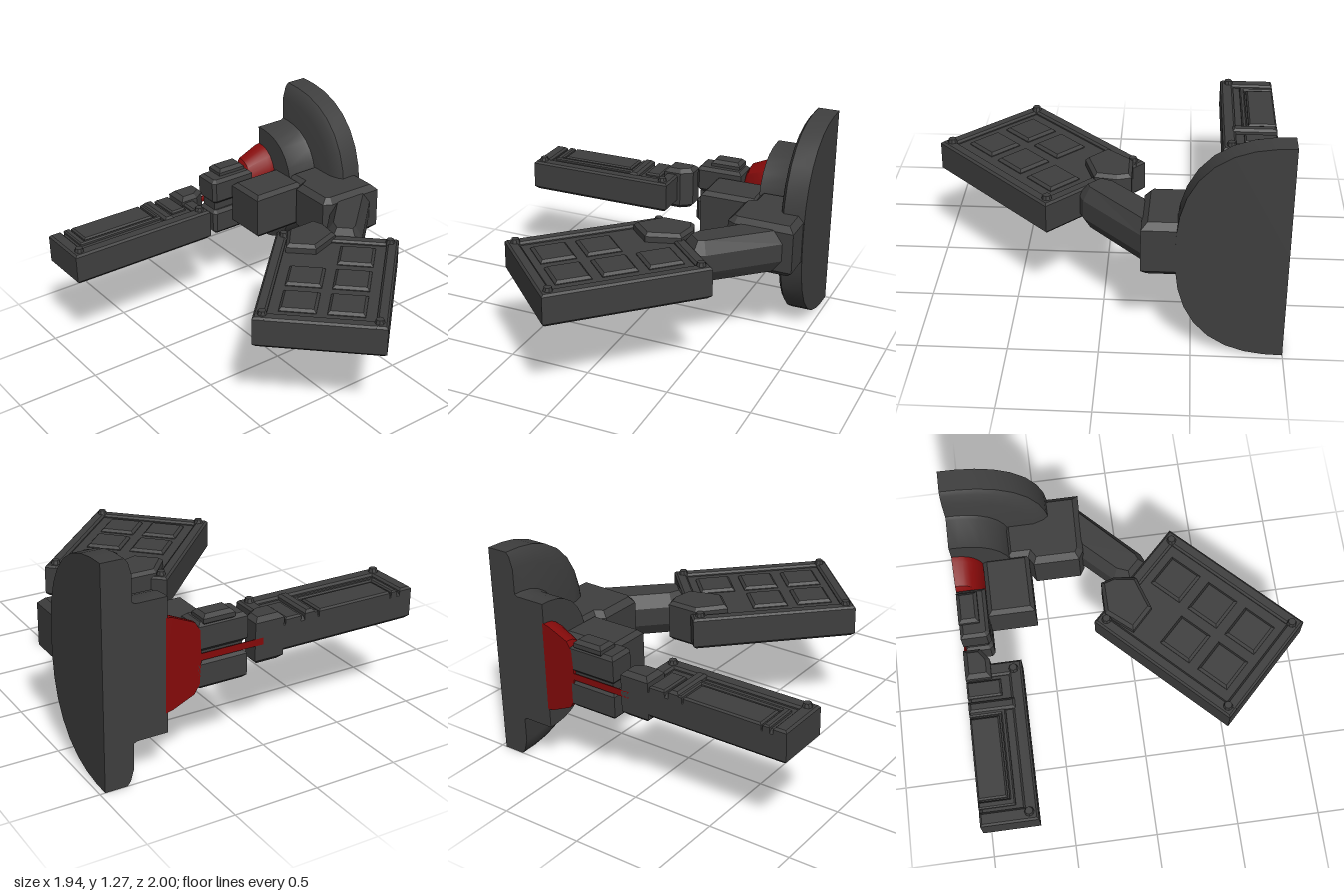
import * as THREE from 'three';
import { toCreasedNormals } from 'three/addons/utils/BufferGeometryUtils.js';

export function createModel() {
  const model = new THREE.Group();
  const hull = new THREE.MeshStandardMaterial({ color: 0x3f3f3f, side: THREE.DoubleSide });
  hull.name = 'dark hull grey';
  const red = new THREE.MeshStandardMaterial({ color: 0x850a0a, side: THREE.DoubleSide });
  red.name = 'deep red';
  const MID = 0.635; // height of the symmetry plane

  function add(parent, name, geometry, material = hull) {
    const mesh = new THREE.Mesh(geometry, material);
    mesh.name = name;
    parent.add(mesh);
    return mesh;
  }

  // Bevelled prism: plan outline in [x, z], between heights y0 and y1
  function prism(parent, name, plan, y0, y1, bevel = 0.015, bevelHeight = bevel) {
    const shape = new THREE.Shape(plan.map(([x, z]) => new THREE.Vector2(x, -z)));
    const geo = new THREE.ExtrudeGeometry(shape, {
      depth: y1 - y0 - 2 * bevelHeight, bevelEnabled: bevel > 0, bevelThickness: bevelHeight,
      bevelSize: bevel, bevelOffset: -bevel, bevelSegments: 1,
    });
    geo.rotateX(-Math.PI / 2);
    geo.translate(0, y0 + bevelHeight, 0);
    return add(parent, name, geo);
  }
  const rect = (x0, x1, z0, z1) => [[x0, z0], [x0, z1], [x1, z1], [x1, z0]];

  // Solid half body about the x axis, cut flat at z = -1; profile in [radius, x]
  function halfBody(name, profile, material, zScale, sides = 18) {
    const geo = new THREE.LatheGeometry(
      profile.map(([r, x]) => new THREE.Vector2(r, -x)), sides, -Math.PI / 2, Math.PI);
    geo.rotateZ(Math.PI / 2);
    // Swell the round section into a slightly squared one
    const pos = geo.attributes.position, n = 2.5;
    for (let i = 0; i < pos.count; i++) {
      const y = pos.getY(i), z = pos.getZ(i), r = Math.hypot(y, z);
      if (r < 1e-6) continue;
      const k = Math.pow(Math.abs(y / r) ** n + Math.abs(z / r) ** n, -1 / n);
      pos.setXYZ(i, pos.getX(i), y * k, z * k * zScale);
    }
    geo.translate(0, MID, -1);
    const group = new THREE.Group();
    group.name = name;
    model.add(group);
    add(group, name + 'Shell', toCreasedNormals(geo, 0.6), material);
    const outline = [...profile.map(([r, x]) => new THREE.Vector2(x, r)),
      ...profile.slice(1, -1).reverse().map(([r, x]) => new THREE.Vector2(x, -r))];
    const cut = new THREE.ShapeGeometry(new THREE.Shape(outline));
    cut.rotateY(Math.PI);
    cut.scale(-1, 1, 1);
    cut.translate(0, MID, -1);
    add(group, name + 'CutFace', cut, material);
  }

  function bolt(parent, x, z) {
    const geo = new THREE.CylinderGeometry(0.022, 0.032, 0.035, 8).toNonIndexed();
    geo.computeVertexNormals();
    add(parent, 'bolt', geo).position.set(x, 0.74, z);
  }

  // Central dish, drum, red collar and spine
  halfBody('centralDish', [[0, 0.97], [0.635, 0.97], [0.635, 0.84], [0.61, 0.82], [0.54, 0.8], [0, 0.8]], hull, 0.94);
  halfBody('drum', [[0, 0.81], [0.4, 0.81], [0.385, 0.78], [0.385, 0.6], [0, 0.6]], hull, 0.9);
  halfBody('redCollar', [[0, 0.61], [0.27, 0.61], [0.262, 0.57], [0.205, 0.44], [0.155, 0.41], [0, 0.4]], red, 0.68);
  halfBody('redSpine', [[0, 0.42], [0.02, 0.42], [0.02, 0.02], [0, 0.02]], red, 0.7, 6);

  // Docking modules above and below the spine
  const docking = new THREE.Group();
  docking.name = 'dockingModules';
  model.add(docking);
  for (const [y0, y1] of [[0.66, 0.825], [0.445, 0.61]])
    prism(docking, 'module', [[0.12, -1], [0.12, -0.85], [0.14, -0.83], [0.42, -0.83], [0.42, -1]], y0, y1, 0.02);
  prism(docking, 'moduleCap', rect(0.2, 0.39, -1, -0.88), 0.8, 0.865, 0.02);
  prism(docking, 'moduleCore', rect(0.14, 0.42, -0.98, -0.86), 0.58, 0.7, 0);
  prism(docking, 'sideModule', rect(0.26, 0.62, -0.83, -0.555), 0.49, 0.785, 0.025);

  // Collar joining the spine to the long panel
  prism(model, 'spineJoint', [[-0.11, -1], [-0.11, -0.85], [0, -0.85], [0.07, -0.9], [0.07, -1]], 0.5, 0.77, 0.025);

  // Connector beside the dish and the diagonal arm
  prism(model, 'connectorBase', [[0.6, -0.69], [0.6, -0.56], [0.55, -0.53], [0.55, -0.26],
    [0.6, -0.23], [0.965, -0.22], [0.965, -0.69]], 0.48, 0.8, 0.035);
  prism(model, 'diagonalArm', [[0.62, -0.27], [0.42, -0.07], [0.38, 0.03], [0.49, 0.14],
    [0.56, 0.11], [0.91, -0.23], [0.8, -0.3]], 0.51, 0.77, 0.045, 0.075);

  // Long panel along the back
  const longPanel = new THREE.Group();
  longPanel.name = 'longPanel';
  model.add(longPanel);
  prism(longPanel, 'panelBody', rect(-0.97, -0.02, -1, -0.67), 0.54, 0.715, 0.02);
  prism(longPanel, 'panelRim', [[-0.97, -1], [-0.97, -0.67], [-0.02, -0.67], [-0.02, -1], [-0.1, -1],
    [-0.1, -0.75], [-0.89, -0.75], [-0.89, -1]], 0.6, 0.735, 0.012);
  prism(longPanel, 'innerRim', [[-0.87, -1], [-0.87, -0.79], [-0.3, -0.79], [-0.3, -1], [-0.33, -1],
    [-0.33, -0.82], [-0.83, -0.82], [-0.83, -1]], 0.68, 0.735, 0.008);
  prism(longPanel, 'raisedPlate', rect(-0.82, -0.34, -1, -0.83), 0.68, 0.735, 0.01);
  prism(longPanel, 'crossRod', rect(-0.31, -0.245, -1, -0.73), 0.68, 0.748, 0.015);
  prism(longPanel, 'sidePlate', rect(-0.22, -0.12, -1, -0.8), 0.68, 0.735, 0.01);
  for (const x of [-0.92, -0.07]) bolt(longPanel, x, -0.72);

  // Diagonal panel with raised cells, built straight then turned
  const cellPanel = new THREE.Group();
  cellPanel.name = 'cellPanel';
  cellPanel.position.set(0.0725, 0, 0.39);
  cellPanel.rotation.y = -Math.PI * 0.75;
  model.add(cellPanel);
  const L = 0.49, W = 0.37;
  prism(cellPanel, 'panelBody', rect(-L, L, -W, W), 0.54, 0.715, 0.02);
  for (const s of [-1, 1]) {
    prism(cellPanel, 'longRim', rect(-L, L, s * (W - 0.035) - 0.035, s * (W - 0.035) + 0.035), 0.6, 0.735, 0.012);
    prism(cellPanel, 'endRim', rect(s * (L - 0.035) - 0.035, s * (L - 0.035) + 0.035, -W, W), 0.6, 0.734, 0.012);
    for (const t of [-1, 1]) bolt(cellPanel, s * (L - 0.05), t * (W - 0.05));
    for (const i of [-1, 0, 1]) {
      if (s === 1 && i === -1) continue; // the hub takes this corner
      prism(cellPanel, 'cell', rect(i * 0.27 - 0.105, i * 0.27 + 0.105, s * 0.135 - 0.105, s * 0.135 + 0.105), 0.69, 0.735, 0.015);
    }
  }

  // Faceted hub where the arm meets the diagonal panel
  prism(model, 'panelHub', [[0.19, -0.15], [0.385, -0.15], [0.41, -0.07], [0.39, 0.06], [0.19, 0.125], [0.06, 0]], 0.52, 0.77, 0.02);
  return model;
}
